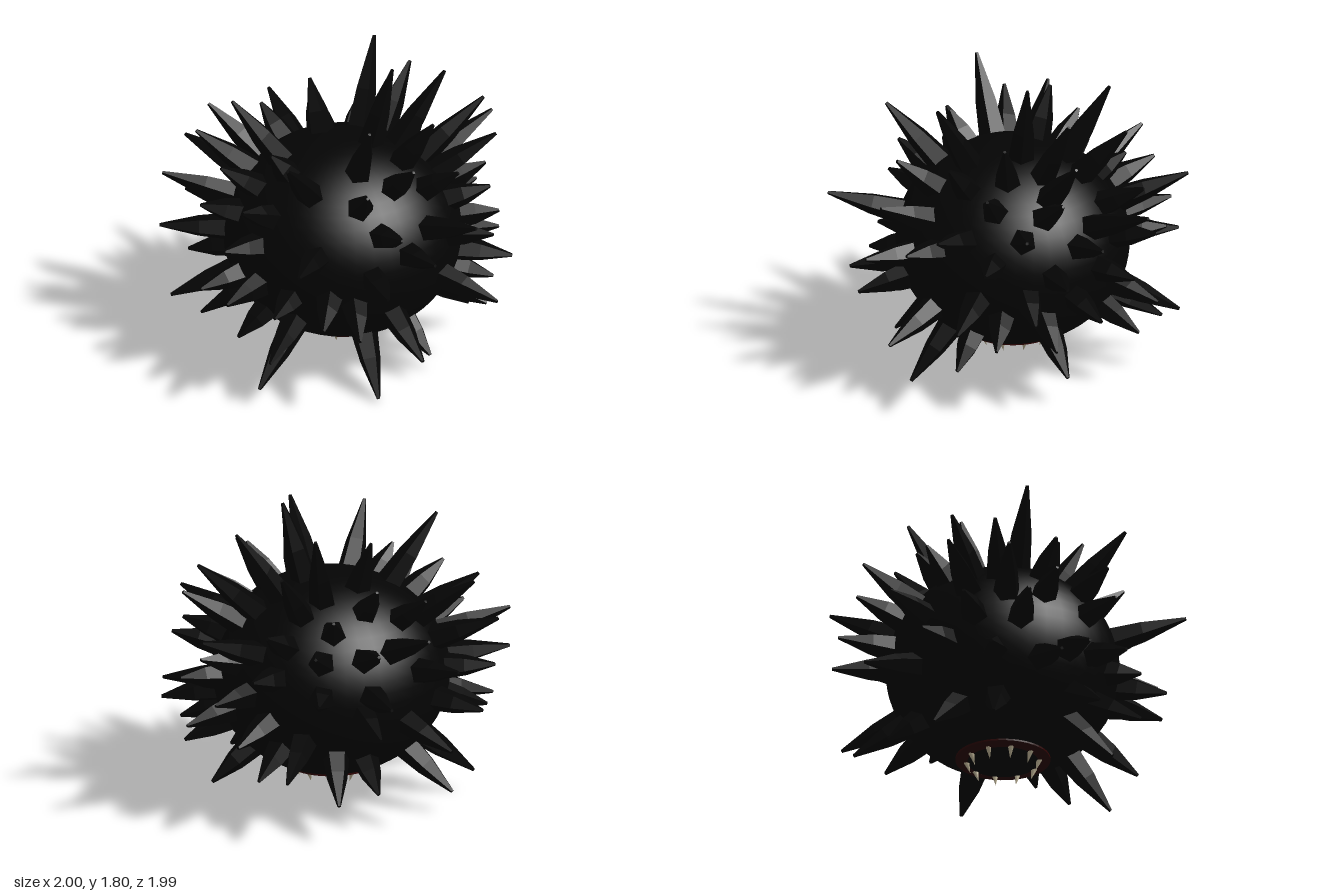
import * as THREE from 'three';

const CENTER = new THREE.Vector3(0.045, 0.75, 0);
const RX = 0.685, RY = 0.594, RZ = 0.67;

// Tips of the longest spines: x, y, z
const TIPS = [
  0.33, 1.79, 0.01, 0.65, 1.68, -0.13, -0.59, 1.64, 0, 0.14, 1.65, 0.49,
  0.29, 1.73, -0.5, -0.11, 1.6, -0.28, 0.87, 1.51, -0.1, 0.93, 1.32, 0,
  0.97, 1.19, -0.5, 0.9, 0.99, -0.25, 0.95, 0.8, -0.02, 1, 0.62, 0.19,
  0.86, 0.57, 0.62, 0.83, 0.42, 0.37, 0.78, 0.17, -0.08, 0.49, 0.17, 0.49,
  0.17, 0, 0.66, -0.5, 0.03, 0.52, -0.74, 0.13, -0.23, -0.96, 0.46, 0.12,
  -0.52, 0.13, -0.53, -0.81, 0.6, 0.32, -1, 0.81, -0.08, -0.97, 1.09, -0.19,
  -0.77, 1.33, -0.23, -0.67, 1.37, -0.46, -0.8, 1.15, -0.51, -0.35, 1.52, 0.63,
  0.5, 1.53, -0.53, -0.33, 1.02, 0.99, 0.05, 0.67, -1, -0.02, 0.84, -0.98,
  0.42, 1.18, -0.93, -0.4, 0.52, -0.91, -0.27, 1.2, -0.89, 0.19, 0.81, 0.94,
  0.03, 0.54, 0.93, -0.18, 0.61, 0.91, 0.28, 1.16, 0.88, 0.4, 0.35, 0.87,
  0.56, 0.4, -0.83, 0.25, 0.23, -0.83, -0.48, 0.95, -0.78, 0.79, 0.57, -0.62,
  0.73, 1.1, 0.69, -0.69, 0.62, 0.56, 0.1, 1.36, 0.72, -0.46, 0.3, 0.7,
  0.54, 1.53, 0.22, -0.03, 0.22, -0.69,
];

function seeded(seed) {
  return () => {
    seed = (seed * 16807) % 2147483647;
    return seed / 2147483647;
  };
}

// Distance from the centre to the body surface along a unit direction
function surface(d) {
  return 1 / Math.hypot(d.x / RX, d.y / RY, d.z / RZ);
}

function lathe(points, sides) {
  return new THREE.LatheGeometry(points.map(([r, h]) => new THREE.Vector2(r, h)), sides);
}

export function createModel() {
  const group = new THREE.Group();
  const rand = seeded(77);
  const mat = (name, color, flatShading = false) => {
    const m = new THREE.MeshStandardMaterial({ color });
    m.name = name;
    m.flatShading = flatShading;
    return m;
  };
  const bodyBlack = mat('bodyBlack', 0x040404);
  const spineBlack = mat('spineBlack', 0x050505, true);
  const lipRed = mat('lipRed', 0x300303, true);
  const toothIvory = mat('toothIvory', 0xd0c4a4);

  const add = (parent, name, geometry, material) => {
    const mesh = new THREE.Mesh(geometry, material);
    mesh.name = name;
    parent.add(mesh);
    return mesh;
  };

  // Squashed round body
  const body = add(group, 'body', new THREE.SphereGeometry(1, 40, 28), bodyBlack);
  body.scale.set(RX, RY, RZ);
  body.position.copy(CENTER);

  // Five-sided spine of unit length, kinked partway up
  const spineGeometry = lathe([[0, 0], [0.08, 0], [0.062, 0.42], [0.01, 1], [0, 1]], 5);
  const spines = new THREE.Group();
  spines.name = 'spines';
  group.add(spines);
  const up = new THREE.Vector3(0, 1, 0);
  const directions = [];

  const addSpine = (tip) => {
    const d = tip.clone().sub(CENTER).normalize();
    directions.push(d);
    const base = d.clone().multiplyScalar(surface(d) - 0.02).add(CENTER);
    const axis = tip.clone().sub(base);
    const spine = add(spines, 'spine', spineGeometry, spineBlack);
    spine.position.copy(base);
    spine.quaternion.setFromUnitVectors(up, axis.clone().normalize());
    spine.rotateY(rand() * Math.PI * 2);
    spine.scale.y = axis.length();
  };
  for (let i = 0; i < TIPS.length; i += 3) addSpine(new THREE.Vector3().fromArray(TIPS, i));

  // Shorter spines fill the gaps, leaving the crown and the mouth clear
  const count = 420;
  for (let i = 0; i < count; i++) {
    const y = 1 - (2 * (i + 0.5)) / count;
    const r = Math.sqrt(1 - y * y);
    const a = i * 2.39996;
    const d = new THREE.Vector3(r * Math.cos(a), y, r * Math.sin(a));
    if (y < -0.55 || y > 0.8 || directions.some((o) => o.angleTo(d) < 0.28)) continue;
    addSpine(d.clone().multiplyScalar(surface(d) + 0.19 + 0.1 * rand()).add(CENTER));
  }

  // Flat mouth ring under the body
  const mouth = new THREE.Group();
  mouth.name = 'mouth';
  mouth.position.set(CENTER.x, 0.184, 0);
  group.add(mouth);
  add(mouth, 'lip', lathe([[0.2, 0.02], [0.205, 0], [0.272, 0.012], [0.272, 0.024]], 40), lipRed);

  // Ring of teeth leaning slightly inward
  const toothGeometry = new THREE.ConeGeometry(0.02, 0.08, 6).rotateX(Math.PI).translate(0, -0.03, 0);
  for (let i = 0; i < 10; i++) {
    const pivot = new THREE.Group();
    pivot.name = 'toothMount';
    pivot.rotation.y = (i / 10) * Math.PI * 2;
    mouth.add(pivot);
    const tooth = add(pivot, 'tooth', toothGeometry, toothIvory);
    tooth.position.set(0.208, 0.005, 0);
    tooth.rotation.z = -0.3;
  }
  return group;
}
